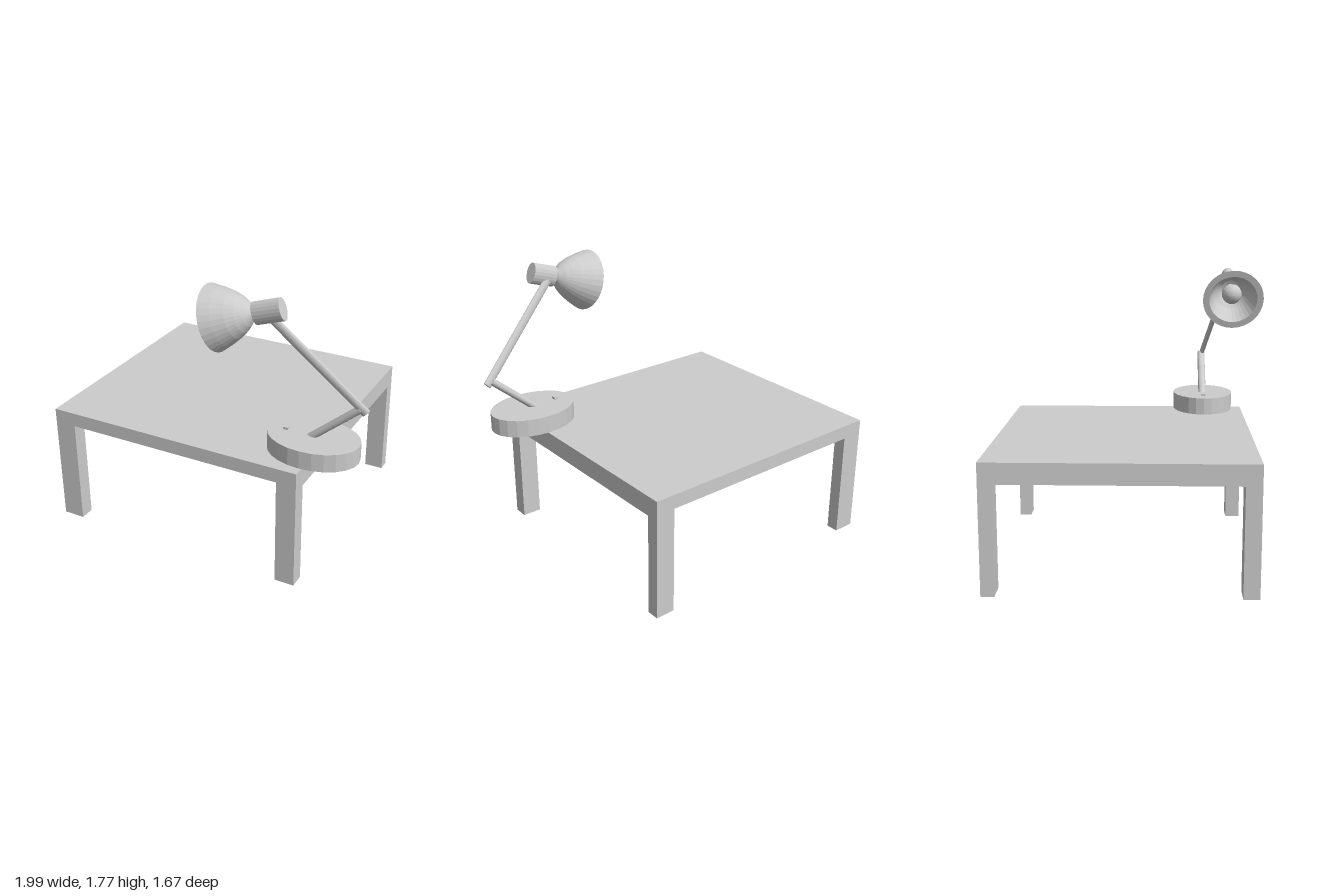
import * as THREE from 'three';

const material = new THREE.MeshStandardMaterial({ color: 0xcccccc, flatShading: true });

export function createModel() {
  const model = new THREE.Group();
  model.name = 'tableWithDeskLamp';

  function add(name, geometry, parent = model) {
    const mesh = new THREE.Mesh(geometry, material);
    mesh.name = name;
    parent.add(mesh);
    return mesh;
  }

  // Box given by its limits on each axis
  function block(name, [x0, x1], [y0, y1], [z0, z1], parent) {
    add(name, new THREE.BoxGeometry(x1 - x0, y1 - y0, z1 - z0), parent)
      .position.set((x0 + x1) / 2, (y0 + y1) / 2, (z0 + z1) / 2);
  }

  // Turns an object so that its y axis follows dir, with its z axis close to world z
  function aim(object, dir) {
    const y = dir.clone().normalize();
    const x = new THREE.Vector3().crossVectors(y, new THREE.Vector3(0, 0, 1)).normalize();
    const z = new THREE.Vector3().crossVectors(x, y);
    object.quaternion.setFromRotationMatrix(new THREE.Matrix4().makeBasis(x, y, z));
  }

  // Oval rod between two points
  function rod(name, from, to, rx, rz, parent) {
    const a = new THREE.Vector3(...from), b = new THREE.Vector3(...to);
    const dir = b.clone().sub(a);
    const geometry = new THREE.CylinderGeometry(1, 1, dir.length(), 20).scale(rx, 1, rz);
    const mesh = add(name, geometry, parent);
    mesh.position.copy(a).add(b).multiplyScalar(0.5);
    aim(mesh, dir);
  }

  // Table: slab, a deeper beam along each side, four legs
  const table = new THREE.Group();
  table.name = 'table';
  model.add(table);
  const back = -0.834, front = 0.74;
  block('tabletop', [-1, 0.68], [0.69, 0.78], [back, front], table);
  for (const [side, span] of [['right', [-1, -0.86]], ['left', [0.555, 0.68]]]) {
    block(side + 'Beam', span, [0.655, 0.69], [back, front], table);
    block(side + 'FrontLeg', span, [0, 0.655], [0.645, front], table);
    block(side + 'BackLeg', span, [0, 0.655], [back, -0.755], table);
  }

  // Lamp base and switch
  const lamp = new THREE.Group();
  lamp.name = 'lamp';
  model.add(lamp);
  add('lampBase', new THREE.CylinderGeometry(1, 1, 0.112, 24).scale(0.285, 1, 0.205), lamp)
    .position.set(0.664, 0.836, 0.472);
  block('switchButton', [0.475, 0.505], [0.88, 0.907], [0.457, 0.487], lamp);

  // Arms and lamp head; the lower arm runs through the base and tabletop
  rod('lowerArm', [0.307, 0.59, 0.47], [0.945, 1.135, 0.47], 0.023, 0.026, lamp);
  rod('upperArm', [0.975, 1.112, 0.47], [0.425, 1.65, 0.602], 0.028, 0.016, lamp);
  rod('lampHead', [0.363, 1.655, 0.633], [0.528, 1.708, 0.627], 0.067, 0.045, lamp);

  // Shade with hollow inside, opening down and outward
  const shade = new THREE.Group();
  shade.name = 'shadeAssembly';
  shade.position.set(0.119, 1.586, 0.64);
  aim(shade, new THREE.Vector3(0.956, 0.293, -0.04));
  lamp.add(shade);
  const profile = [
    [0, 0.2], [0.06, 0.19], [0.11, 0.13], [0.155, 0], [0.196, 0],
    [0.169, 0.065], [0.135, 0.133], [0.105, 0.177], [0.075, 0.21], [0.035, 0.241], [0, 0.252],
  ].map(([r, y]) => new THREE.Vector2(r, y));
  add('lampshade', new THREE.LatheGeometry(profile, 32), shade);
  add('bulb', new THREE.SphereGeometry(0.065, 20, 14), shade).position.y = 0.1;
  add('bulbSocket', new THREE.CylinderGeometry(0.035, 0.035, 0.08, 16), shade).position.y = 0.17;

  return model;
}
